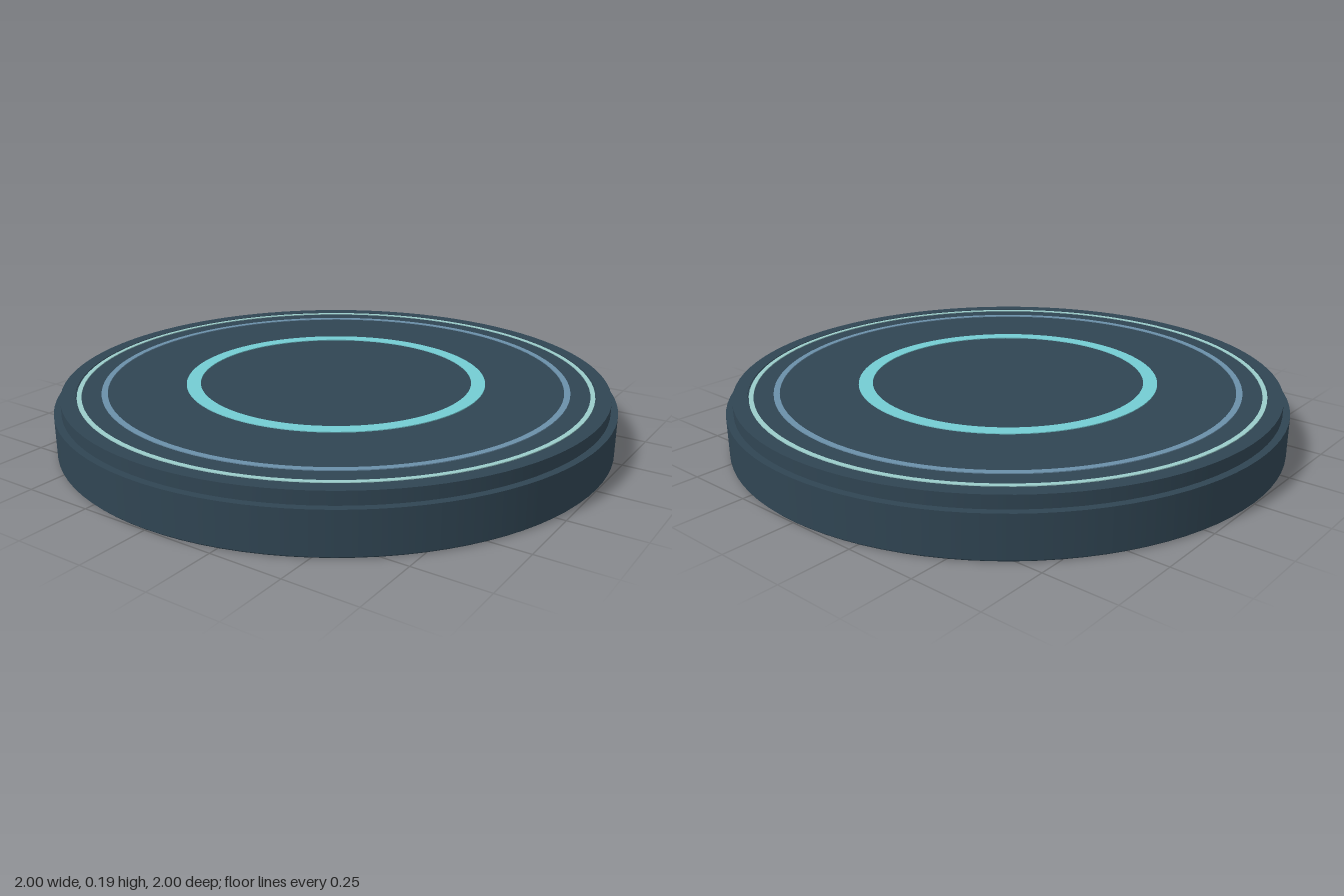
import * as THREE from 'three';

const SEGMENTS = 96;

function material(name, color) {
  const m = new THREE.MeshStandardMaterial({ color });
  m.name = name;
  return m;
}

// Stepped disc or ring turned from straight profile segments with crisp edges
function turned(name, points, mat) {
  const group = new THREE.Group();
  group.name = name;
  for (let i = 0; i < points.length - 1; i++) {
    const pair = [points[i], points[i + 1]].map(([r, y]) => new THREE.Vector2(r, y));
    const mesh = new THREE.Mesh(new THREE.LatheGeometry(pair, SEGMENTS), mat);
    mesh.name = name + 'Face' + (i + 1);
    group.add(mesh);
  }
  return group;
}

// Thin raised band between two radii
function band(name, inner, outer, bottom, top, mat) {
  return turned(name, [[outer, bottom], [outer, top], [inner, top], [inner, bottom]], mat);
}

export function createModel() {
  const slate = material('darkSlate', 0x304553);
  const cyan = material('brightCyan', 0x74ccd3);
  const blue = material('mutedBlue', 0x6a8fa9);
  const pale = material('paleTeal', 0x9accca);

  const model = new THREE.Group();
  model.name = 'roundPlatform';

  // Wide base with a narrow ledge, then the upper deck
  model.add(turned('base', [[0, 0], [0.995, 0], [1, 0.005], [1, 0.15], [0.975, 0.15]], slate));
  model.add(turned('deck', [[0.975, 0.15], [0.975, 0.192], [0, 0.192]], slate));

  // Raised outer rim
  model.add(band('rim', 0.925, 0.975, 0.19, 0.195, slate));

  // Inlaid rings
  model.add(band('outerRing', 0.904, 0.92, 0.19, 0.195, pale));
  model.add(band('middleRing', 0.815, 0.836, 0.19, 0.195, blue));
  model.add(band('innerRing', 0.49, 0.54, 0.19, 0.195, cyan));

  return model;
}
